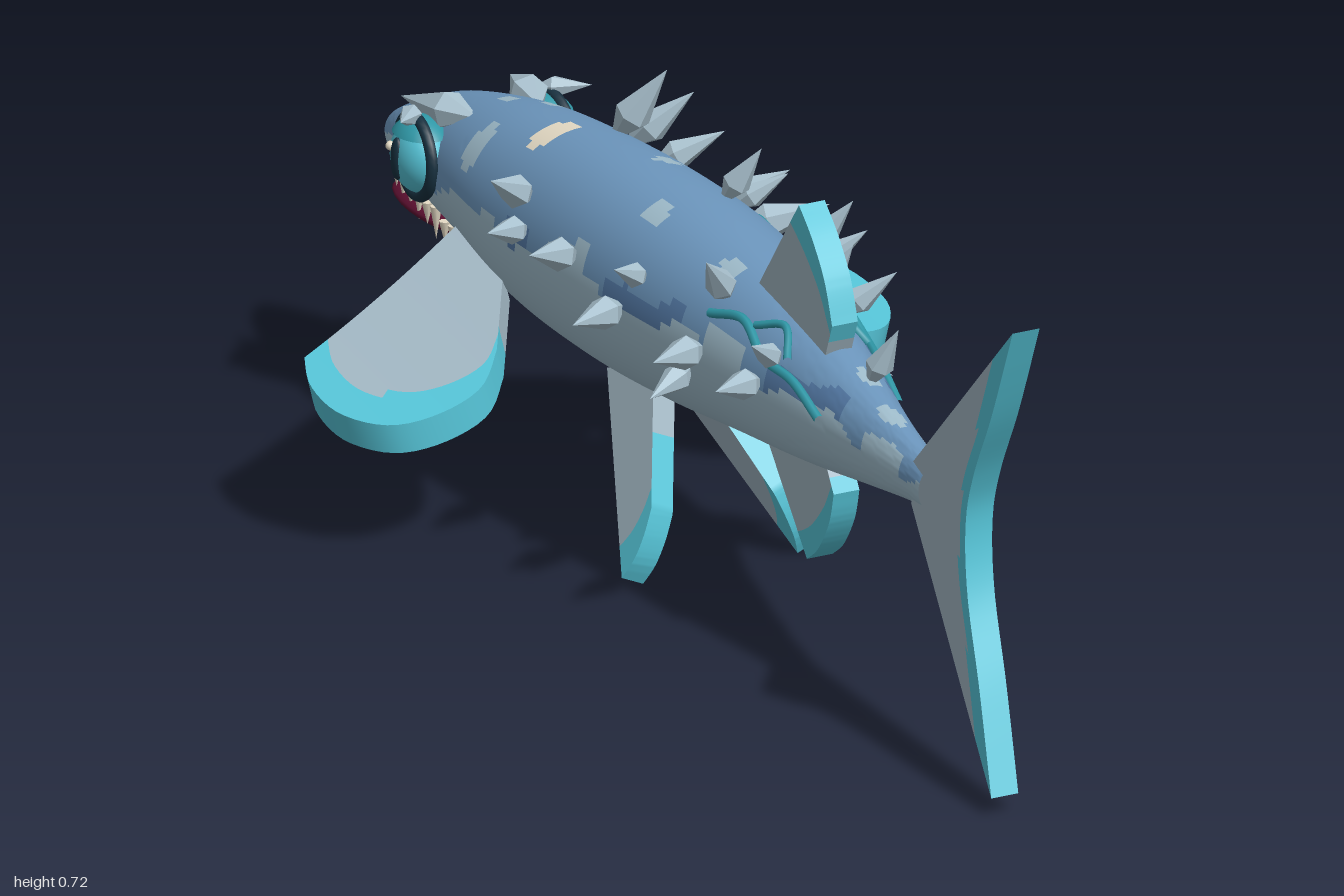
import * as THREE from 'three';
import { toCreasedNormals } from 'three/addons/utils/BufferGeometryUtils.js';

const V = (x, y, z) => new THREE.Vector3(x, y, z);

// Body stations: z, centre x, top y, bottom y, half width
const stations = [
  [-1, 0, 0.382, 0.368, 0.006], [-0.97, 0, 0.407, 0.345, 0.03], [-0.9, 0, 0.443, 0.325, 0.058],
  [-0.8, 0, 0.485, 0.312, 0.085], [-0.65, 0, 0.52, 0.29, 0.115], [-0.5, 0, 0.538, 0.25, 0.131],
  [-0.3, 0, 0.547, 0.236, 0.139], [-0.1, 0, 0.54, 0.241, 0.137], [0.1, -0.01, 0.518, 0.261, 0.117],
  [0.3, -0.033, 0.485, 0.285, 0.083], [0.5, -0.056, 0.443, 0.318, 0.047], [0.62, -0.068, 0.42, 0.337, 0.031],
  [0.68, -0.075, 0.412, 0.342, 0.028],
];
const centre = new THREE.CatmullRomCurve3(stations.map(s => V(s[1], (s[2] + s[3]) / 2, s[0])), false, 'catmullrom', 0.5);
const radii = new THREE.CatmullRomCurve3(stations.map(s => V(s[4], (s[2] - s[3]) / 2, 0)), false, 'catmullrom', 0.5);

// Point on the skin at z; angle in radians from the top towards +x
function section(z) {
  let lo = 0, hi = 1;
  for (let i = 0; i < 24; i++) {
    const m = (lo + hi) / 2;
    if (centre.getPoint(m).z < z) lo = m; else hi = m;
  }
  return { c: centre.getPoint(lo), r: radii.getPoint(lo) };
}
function skin(z, a, grow = 0) {
  const { c, r } = section(z);
  return V(c.x + (r.x + grow) * Math.sin(a), c.y + (r.y + grow) * Math.cos(a), z);
}

// Geometry from triangles sorted into one group per material
function grouped(lists) {
  const g = new THREE.BufferGeometry(), all = [];
  lists.forEach((l, i) => {
    g.addGroup(all.length, l.length, i);
    for (const p of l) all.push(p);
  });
  g.setAttribute('position', new THREE.Float32BufferAttribute(all.flatMap(p => [p.x, p.y, p.z]), 3));
  return g;
}

export function createModel() {
  const model = new THREE.Group();
  const mat = (name, color, side = THREE.FrontSide) => {
    const m = new THREE.MeshStandardMaterial({ color, side });
    m.name = name;
    return m;
  };
  const back = mat('backBlue', 0x6c96bd), dark = mat('darkBlue', 0x557ba8), belly = mat('bellyPale', 0x9fbccb);
  const fin = mat('finGrey', 0xa0b5c1, THREE.DoubleSide), cyan = mat('cyan', 0x55c3d6, THREE.DoubleSide);
  const teal = mat('veinTeal', 0x2f97a6), spikeMat = mat('spikePale', 0xa9c1ce);
  const mouth = mat('mouthRed', 0x5c1030), cream = mat('cream', 0xe6dcc6), ink = mat('eyeDark', 0x17303f);
  const add = (name, geo, m, parent = model) => {
    const mesh = new THREE.Mesh(geo, m);
    mesh.name = name;
    parent.add(mesh);
    return mesh;
  };

  // Body: lofted, with a wavy border between back and belly, and pale spots
  const spots = [[-0.035, -0.48, 0.04, 0.024, 3], [0.05, -0.61, 0.03, 0.02, 2], [-0.09, -0.6, 0.03, 0.02, 2], [0.0, -0.67, 0.015, 0.015, 2],
    [0.04, -0.28, 0.02, 0.02, 2], [-0.06, -0.14, 0.02, 0.025, 2], [-0.06, 0.07, 0.02, 0.025, 2], [-0.04, 0.43, 0.015, 0.025, 2], [-0.06, 0.53, 0.015, 0.03, 2]];
  const paint = p => {
    const z = p.z;
    const border = (z < -0.5 ? 0.41 + 0.08 * (z + 0.5) : z < 0.2 ? 0.415 : 0.415 - 0.065 * (z - 0.2))
      + 0.011 * Math.sin(19 * z + 1 + p.x * 8) + 0.006 * Math.sin(47 * z);
    if (p.y < border) return 2;
    const c = section(z).c;
    if (p.y > c.y + 0.05 || z > 0.3) for (const [x, sz, rx, rz, k] of spots)
      if (((p.x - x) / rx) ** 2 + ((z - sz) / rz) ** 2 < 1) return k;
    if (z > -0.45 && p.y < border + 0.03) {
      const s = Math.sin(15 * z + 2.5);
      if (s > 0.1) return 1;
      if (s < -0.75) return 2;
    }
    return 0;
  };
  const NL = 150, NR = 64, faces = [[], [], [], []], rings = [];
  for (let i = 0; i <= NL; i++) {
    const z = -1 + 1.68 * (i / NL) ** 1.15;
    rings.push(Array.from({ length: NR + 1 }, (_, j) => skin(z, (j % NR) / NR * Math.PI * 2)));
  }
  for (let i = 0; i < NL; i++) for (let j = 0; j < NR; j++) {
    const a = rings[i][j], b = rings[i][j + 1], c = rings[i + 1][j], d = rings[i + 1][j + 1];
    faces[paint(a.clone().add(d).multiplyScalar(0.5))].push(a, c, b, b, c, d);
  }
  add('body', toCreasedNormals(grouped(faces), 1), [back, dark, belly, cream]);

  // Fins: slabs stretched from a root line to an outer edge curve, cyan along the rim
  function makeFin(name, root, edge, half, map, isCyan) {
    const curve = new THREE.SplineCurve(edge.map(p => new THREE.Vector2(...p)));
    const r0 = new THREE.Vector2(...root[0]), r1 = new THREE.Vector2(...root[1]);
    const NU = 28, NV = 20, out = [[], []];
    const P = (i, j, s) => {
      const q = r0.clone().lerp(r1, i / NU).lerp(curve.getPoint(i / NU), j / NV);
      return map(q.x, q.y, s * half);
    };
    const quad = (k, a, b, c, d) => out[k].push(a, b, c, a, c, d);
    for (let i = 0; i < NU; i++) for (let j = 0; j < NV; j++) {
      const k = isCyan((i + 0.5) / NU, (j + 0.5) / NV, false) ? 1 : 0;
      quad(k, P(i, j, 1), P(i + 1, j, 1), P(i + 1, j + 1, 1), P(i, j + 1, 1));
      quad(k, P(i, j, -1), P(i, j + 1, -1), P(i + 1, j + 1, -1), P(i + 1, j, -1));
    }
    for (let i = 0; i < NU; i++) quad(1, P(i, NV, 1), P(i + 1, NV, 1), P(i + 1, NV, -1), P(i, NV, -1));
    for (let j = 0; j < NV; j++) {
      const k = u => isCyan(u, (j + 0.5) / NV, true) ? 1 : 0;
      quad(k(0), P(0, j, 1), P(0, j + 1, 1), P(0, j + 1, -1), P(0, j, -1));
      quad(k(1), P(NU, j + 1, 1), P(NU, j, 1), P(NU, j, -1), P(NU, j + 1, -1));
    }
    return add(name, toCreasedNormals(grouped(out), 0.7), [fin, cyan]);
  }

  makeFin('tailFin', [[0.64, 0.408], [0.64, 0.345]],
    [[1, 0.725], [0.935, 0.58], [0.875, 0.47], [0.853, 0.39], [0.872, 0.29], [0.935, 0.17], [1, 0.03]], 0.022,
    (z, y, s) => V(-0.068 - 0.165 * (z - 0.64) + 0.05 * (y - 0.38) + s, y, z),
    (u, v) => v > 0.9 - 0.12 * Math.abs(2 * u - 1));
  const midX = (z, y, s) => V(-0.03 - 0.07 * (z - 0.15) + s, y, z);
  const rimCyan = (u, v, rim) => v > (rim ? 0.6 : 0.78);
  makeFin('dorsalFin', [[0.12, 0.49], [0.34, 0.45]],
    [[0.262, 0.667], [0.305, 0.63], [0.345, 0.58], [0.37, 0.52]], 0.021, midX, rimCyan);
  makeFin('analFin', [[0.14, 0.3], [0.34, 0.32]],
    [[0.288, 0.142], [0.325, 0.17], [0.36, 0.22], [0.375, 0.268]], 0.021, midX, rimCyan);
  for (const side of [1, -1]) {
    const tag = side > 0 ? 'left' : 'right';
    makeFin(tag + 'PectoralFin', [[0.09, -0.64], [0.1, -0.5]],
      [[0.415, -0.515], [0.442, -0.45], [0.442, -0.37], [0.4, -0.305], [0.33, -0.285], [0.25, -0.3], [0.19, -0.36]], 0.022,
      (x, z, s) => V(x + s * 0.25, 0.325 - 0.24 * (x - 0.1) - 0.19 * (z + 0.64) + 0.25 * (x - 0.27) ** 2 + s, z),
      (u, v, rim) => v > (rim ? 0.72 : 0.86 - 0.08 * u)).scale.x = side;
    makeFin(tag + 'PelvicFin', [[-0.28, 0.24], [-0.17, 0.27]],
      [[-0.065, 0.01], [-0.052, 0.04], [-0.05, 0.075], [-0.056, 0.11]], 0.019,
      (z, y, s) => V(0.04 + 0.43 * (0.25 - y) + s * 0.92, y + s * 0.4, z),
      (u, v, rim) => v > (rim ? 0.45 : 0.83)).scale.x = side;
  }

  // Crystal spikes: z, degrees from the top towards +x, length
  const spikeGeo = new THREE.LatheGeometry([[0, -0.15], [0.21, 0.3], [0, 1]].map(p => new THREE.Vector2(...p)), 6).toNonIndexed();
  spikeGeo.computeVertexNormals();
  const spike = (name, p, dir, len, m = spikeMat) => {
    const s = add(name, spikeGeo, m);
    s.position.copy(p);
    s.quaternion.setFromUnitVectors(V(0, 1, 0), dir.normalize());
    s.scale.setScalar(len);
  };
  const spikes = [[-0.47, 42, 0.12], [-0.44, 58, 0.11], [-0.45, 24, 0.13], [-0.27, 60, 0.11], [-0.23, 72, 0.13], [-0.21, 52, 0.09],
    [-0.14, 22, 0.1], [0.05, 48, 0.1], [0.08, 28, 0.13], [0.03, 112, 0.11], [0.1, 118, 0.09], [0.2, 45, 0.1], [0.19, 20, 0.1],
    [0.43, 12, 0.1], [-0.42, -58, 0.12], [-0.4, -75, 0.1], [-0.26, -72, 0.12], [-0.12, -85, 0.12], [-0.08, -62, 0.09],
    [0.09, -82, 0.12], [0.06, -100, 0.1], [0.1, -40, 0.11], [0.24, -80, 0.11], [0.27, -55, 0.09]];
  for (const [z, deg, len] of spikes) {
    const a = deg * Math.PI / 180;
    spike('spike', skin(z, a, -0.004), V(Math.sin(a), Math.cos(a), 0.5), len);
  }

  // Veins: tubes that follow the skin, given as [z, y] pairs
  const vein = (side, pts, r = 0.007) => {
    const path = pts.map(([z, y]) => {
      const { c, r: rad } = section(z);
      return skin(z, side * Math.acos(THREE.MathUtils.clamp((y - c.y) / rad.y, -1, 1)), 0.004);
    });
    add('vein', new THREE.TubeGeometry(new THREE.CatmullRomCurve3(path), 40, r, 7), teal);
  };
  for (const side of [1, -1]) {
    vein(side, [[0.41, 0.4], [0.33, 0.43], [0.25, 0.44], [0.17, 0.47], [0.1, 0.46]]);
    vein(side, [[0.3, 0.45], [0.25, 0.48], [0.2, 0.47]], 0.006);
  }
  vein(1, [[0.18, 0.31], [0.1, 0.35], [0.05, 0.42], [-0.02, 0.46], [-0.1, 0.44], [-0.17, 0.47], [-0.22, 0.45]]);
  vein(1, [[0.14, 0.32], [0.05, 0.34], [-0.01, 0.4], [-0.09, 0.42], [-0.17, 0.36], [-0.25, 0.37]]);
  vein(1, [[0.04, 0.39], [-0.04, 0.38], [-0.1, 0.41], [-0.18, 0.41], [-0.27, 0.41]], 0.006);

  // Lower jaw and teeth
  const jaw = add('lowerJaw', new THREE.SphereGeometry(1, 28, 14), mouth);
  jaw.position.set(0, 0.302, -0.815);
  jaw.scale.set(0.062, 0.016, 0.152);
  const toothGeo = new THREE.ConeGeometry(0.009, 0.045, 7);
  for (const side of [1, -1]) for (let i = 0; i < 8; i++) {
    const z = -0.69 - i * 0.034, t = add('tooth', toothGeo, cream);
    t.position.copy(skin(z, side * 2.35)).add(V(0, -0.022, 0));
    t.rotation.x = Math.PI;
    t.scale.y = i % 2 ? 0.75 : 1.1;
  }

  // Eyes with dark rim, pupil, lid and brow spikes
  for (const side of [1, -1]) {
    const eye = new THREE.Group();
    eye.name = side > 0 ? 'leftEye' : 'rightEye';
    eye.position.set(side * 0.1, 0.425, -0.745);
    eye.rotation.y = side * Math.PI / 2 + side * 0.1;
    model.add(eye);
    add('eyeball', new THREE.SphereGeometry(0.055, 28, 18), cyan, eye).scale.z = 0.75;
    add('eyeRim', new THREE.TorusGeometry(0.058, 0.009, 8, 32), ink, eye).position.z = 0.008;
    const lid = add('eyelid', new THREE.SphereGeometry(0.06, 24, 10, 0, Math.PI * 2, 0, 0.95), teal, eye);
    lid.scale.z = 0.8;
    const pupil = add('pupil', new THREE.SphereGeometry(1, 18, 12), ink, eye);
    pupil.position.z = 0.036;
    pupil.scale.set(0.014, 0.032, 0.009);
    const glint = add('eyeGlint', new THREE.SphereGeometry(0.007, 10, 8), cream, eye);
    glint.position.set(-0.013, 0.016, 0.041);
    spike('browSpike', V(side * 0.055, 0.495, -0.685), V(side * 0.25, -0.05, -1), 0.14);
    spike('browSpike', V(side * 0.1, 0.485, -0.76), V(side * 0.7, 0.15, 0.7), 0.08);
  }
  return model;
}
